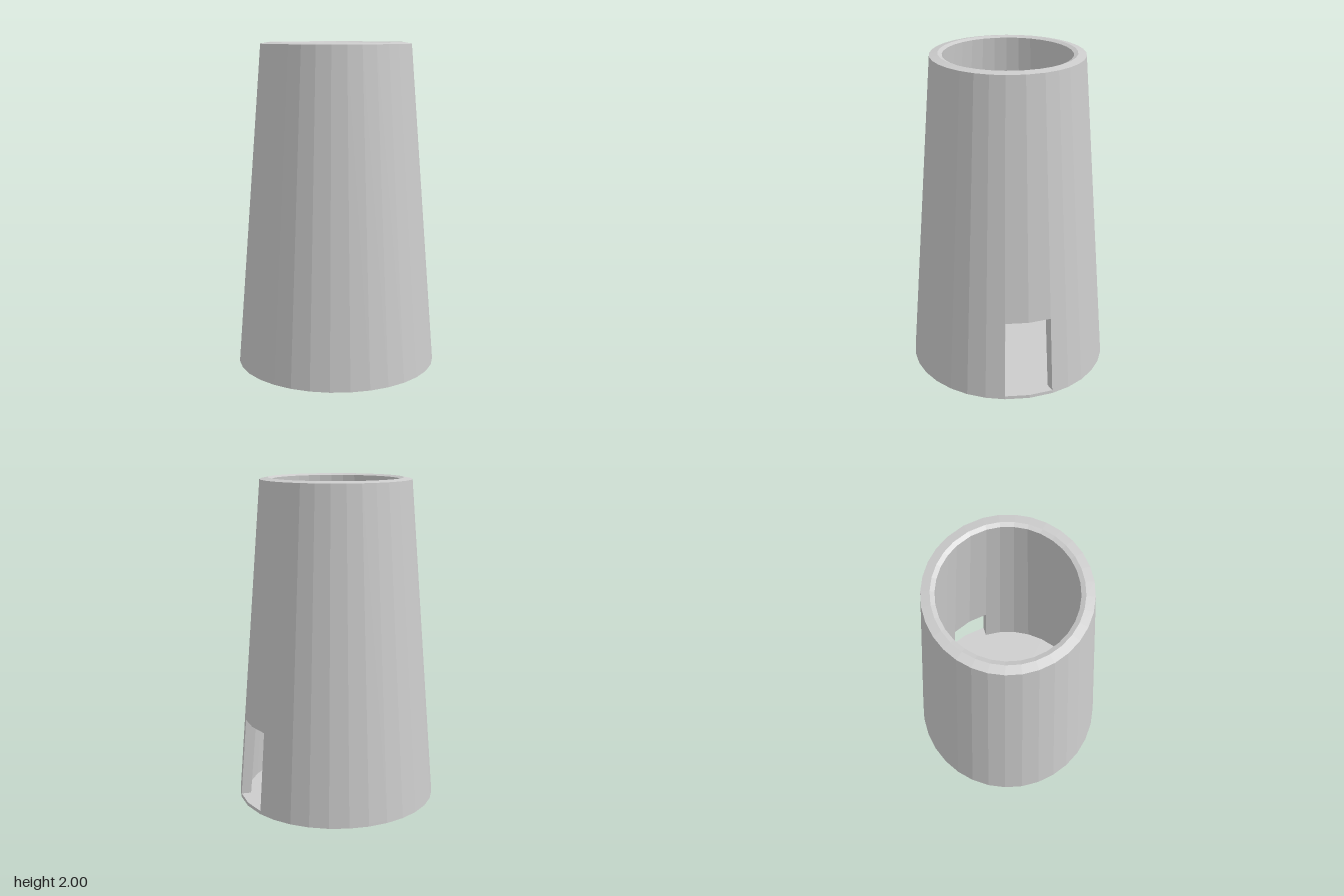
import * as THREE from 'three';

const RAD = Math.PI / 180;
// Lathe angles: the doorway faces +x, slightly towards the back
const DOOR_START = 78.5, DOOR_SPAN = 28;
const FLOOR_Y = 0.02, DOOR_Y = 0.51, TOP_Y = 1.99;

const outerR = (y) => 0.62 - 0.16 * (y / TOP_Y);
const innerR = (y) => 0.56 - 0.175 * (y / TOP_Y);

export function createModel() {
  const group = new THREE.Group();
  const material = new THREE.MeshStandardMaterial({
    color: 0xcccccc, flatShading: true, side: THREE.DoubleSide,
  });

  function add(name, geometry) {
    const mesh = new THREE.Mesh(geometry, material);
    mesh.name = name;
    group.add(mesh);
    return mesh;
  }

  function turn(name, profile, start, span, segments) {
    const points = profile.map(([r, y]) => new THREE.Vector2(r, y));
    return add(name, new THREE.LatheGeometry(points, segments, start * RAD, span * RAD));
  }

  // Wall section: up the outside, over the sloping rim, down the inside
  const wall = (y) => [
    [outerR(y), y], [outerR(TOP_Y), TOP_Y], [0.41, 2], [innerR(TOP_Y), TOP_Y], [innerR(y), y],
  ];
  const floor = [[0, 0], [outerR(0), 0], [outerR(FLOOR_Y), FLOOR_Y], [0, FLOOR_Y]];
  const restStart = DOOR_START + DOOR_SPAN, restSpan = 360 - DOOR_SPAN;

  // Main shell and the panel above the doorway, closed underneath as a lintel
  turn('towerWall', wall(FLOOR_Y), restStart, restSpan, 30);
  turn('wallAboveDoor', [...wall(DOOR_Y), [outerR(DOOR_Y), DOOR_Y]], DOOR_START, DOOR_SPAN, 2);

  // Thin floor slab, with its sill in the doorway
  turn('floor', floor, restStart, restSpan, 30);
  turn('doorSill', floor, DOOR_START, DOOR_SPAN, 2);

  // Door jambs: the cut ends of the wall
  const jamb = new THREE.Shape([
    [innerR(FLOOR_Y), FLOOR_Y], [outerR(FLOOR_Y), FLOOR_Y],
    [outerR(DOOR_Y), DOOR_Y], [innerR(DOOR_Y), DOOR_Y],
  ].map(([r, y]) => new THREE.Vector2(r, y)));
  for (const [name, angle] of [['frontJamb', DOOR_START], ['backJamb', restStart]]) {
    add(name, new THREE.ShapeGeometry(jamb)).rotation.y = (angle - 90) * RAD;
  }

  return group;
}
